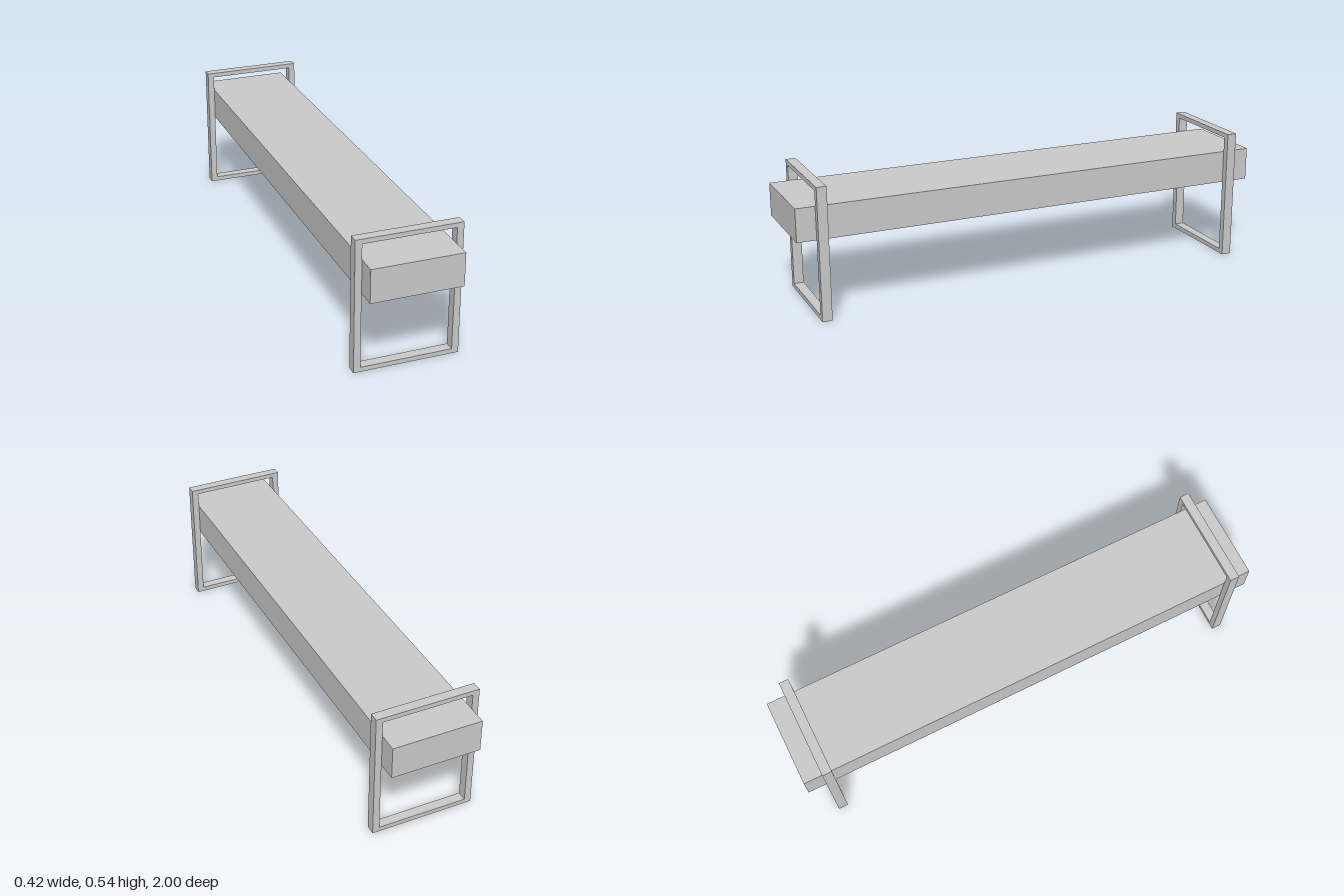
import * as THREE from 'three';

const material = new THREE.MeshStandardMaterial({ color: 0xcccccc, flatShading: true });

const SEAT = { width: 0.365, bottom: 0.324, top: 0.459, length: 2 };
const FRAME = { halfWidth: 0.21, height: 0.54, post: 0.027, rail: 0.019, depth: 0.04, z: 0.902 };

// Upright rectangular loop, extruded along z and centred on it
function frameGeometry() {
  const { halfWidth: w, height: h, post, rail, depth } = FRAME;
  const rect = (Path, x, y0, y1) => new Path([[-x, y0], [x, y0], [x, y1], [-x, y1]].map(p => new THREE.Vector2(...p)));
  const shape = rect(THREE.Shape, w, 0, h);
  shape.holes.push(rect(THREE.Path, w - post, rail, h - rail));
  return new THREE.ExtrudeGeometry(shape, { depth, bevelEnabled: false }).translate(0, 0, -depth / 2);
}

export function createModel() {
  const bench = new THREE.Group();
  bench.name = 'bench';

  // Long slab held between the posts
  const seat = new THREE.Mesh(new THREE.BoxGeometry(SEAT.width, SEAT.top - SEAT.bottom, SEAT.length), material);
  seat.name = 'seat';
  seat.position.y = (SEAT.top + SEAT.bottom) / 2;
  bench.add(seat);

  // One leg frame near each end
  const geometry = frameGeometry();
  for (const [name, side] of [['frontLegFrame', 1], ['backLegFrame', -1]]) {
    const frame = new THREE.Mesh(geometry, material);
    frame.name = name;
    frame.position.z = side * FRAME.z;
    bench.add(frame);
  }
  return bench;
}
